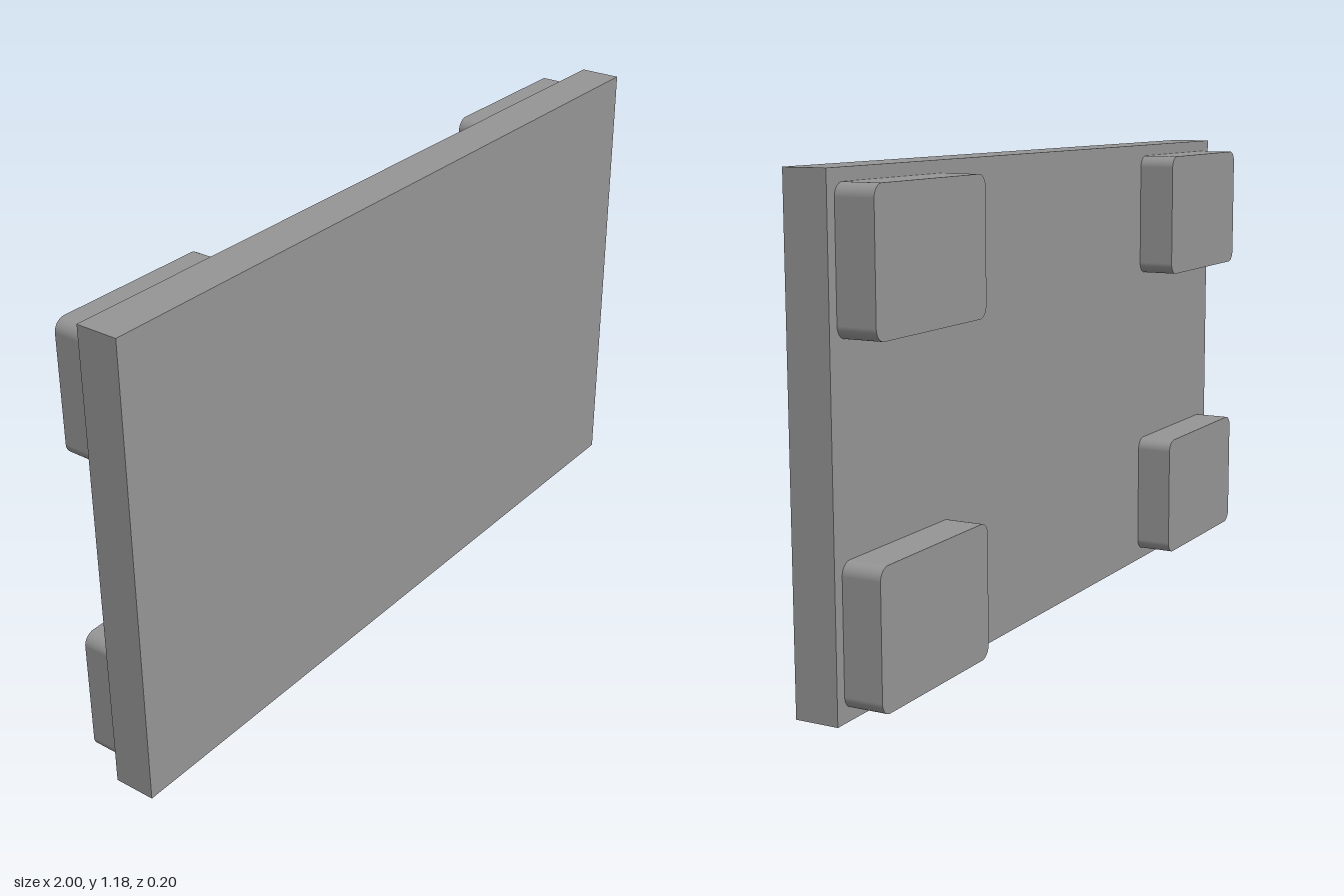
import * as THREE from 'three';

const material = new THREE.MeshStandardMaterial({ color: 0x959595 });

// Rectangle with rounded corners, centred on the origin
function roundedRect(w, h, r) {
  const x = w / 2 - r, y = h / 2 - r;
  const s = new THREE.Shape();
  s.absarc(x, y, r, 0, Math.PI / 2);
  s.absarc(-x, y, r, Math.PI / 2, Math.PI);
  s.absarc(-x, -y, r, Math.PI, Math.PI * 1.5);
  s.absarc(x, -y, r, Math.PI * 1.5, Math.PI * 2);
  s.closePath();
  return s;
}

// Smooth the side normals: each rim normal points away from its corner centre
function smoothSides(geometry, w, h, r) {
  const p = geometry.attributes.position, n = geometry.attributes.normal;
  for (let i = 0; i < p.count; i++) {
    if (Math.abs(n.getZ(i)) > 0.5) continue;
    const x = p.getX(i), y = p.getY(i);
    const dx = Math.sign(x) * Math.max(Math.abs(x) - (w / 2 - r), 0);
    const dy = Math.sign(y) * Math.max(Math.abs(y) - (h / 2 - r), 0);
    const len = Math.hypot(dx, dy) || 1;
    n.setXYZ(i, dx / len, dy / len, 0);
  }
  return geometry;
}

export function createModel() {
  const model = new THREE.Group();
  model.name = 'padded panel';

  // Flat panel
  const height = 1.183, back = -0.006, front = 0.102;
  const panel = new THREE.Mesh(new THREE.BoxGeometry(2, height, front - back), material);
  panel.name = 'panel';
  panel.position.set(0, height / 2, (front + back) / 2);
  model.add(panel);

  // Four rounded pads near the corners of the back
  const w = 0.453, h = 0.325, r = 0.03, depth = 0.096;
  const padGeometry = smoothSides(new THREE.ExtrudeGeometry(roundedRect(w, h, r), {
    depth, bevelEnabled: false, curveSegments: 8,
  }), w, h, r);
  for (const sx of [-1, 1]) {
    for (const sy of [-1, 1]) {
      const pad = new THREE.Mesh(padGeometry, material);
      pad.name = `${sy > 0 ? 'upper' : 'lower'}${sx > 0 ? 'Left' : 'Right'}Pad`;
      pad.position.set(sx * 0.746, height / 2 + sy * 0.399, back - depth);
      model.add(pad);
    }
  }
  return model;
}
